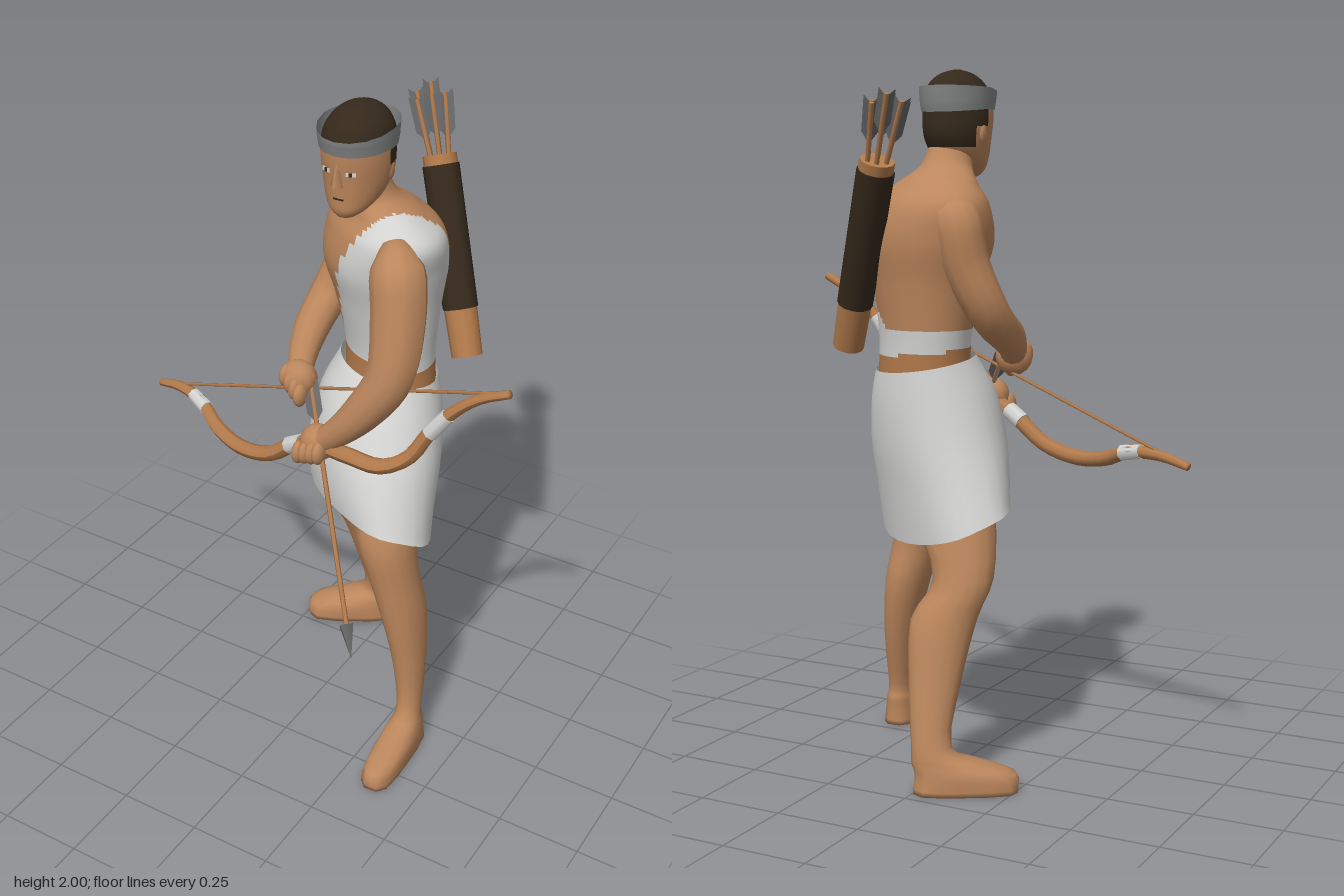
import * as THREE from 'three';

const mat = (name, color, side = THREE.FrontSide) => {
  const m = new THREE.MeshStandardMaterial({ color, side });
  m.name = name;
  return m;
};
const V = (p) => new THREE.Vector3(...p);

// Catmull-Rom blend of rows of numbers at position s (0..1)
function blend(rows, s) {
  const f = s * (rows.length - 1), i = Math.min(Math.floor(f), rows.length - 2), t = f - i;
  const [a, b, c, d] = [-1, 0, 1, 2].map((k) => rows[Math.max(0, Math.min(rows.length - 1, i + k))]);
  return b.map((_, k) => 0.5 * (2 * b[k] + (c[k] - a[k]) * t
    + (2 * a[k] - 5 * b[k] + 4 * c[k] - d[k]) * t * t
    + (3 * b[k] - a[k] - 3 * c[k] + d[k]) * t * t * t));
}

// Stack of level ellipses, bottom to top: [y, x, z, half depth, half width], turned by heading.
// pick(u, f, y) chooses a material slot from left, forward and height.
function loft(name, rings, heading, mats, { sides = 16, rows = 12, capped = true, warp, pick } = {}) {
  const pos = [], local = [], sn = Math.sin(heading), cs = Math.cos(heading);
  for (let i = 0; i <= rows; i++) {
    const [y, x, z, a, b] = blend(rings, i / rows);
    for (let j = 0; j < sides; j++) {
      const p = (j / sides) * Math.PI * 2;
      let f = a * Math.cos(p), u = b * Math.sin(p), h = y;
      if (warp) [u, f, h] = warp(u, f, y, p, i / rows);
      pos.push(x + f * sn + u * cs, h, z + f * cs - u * sn);
      local.push([u, f, h]);
    }
  }
  const lists = mats.map(() => []);
  const face = (...ids) => {
    const m = [0, 1, 2].map((k) => ids.reduce((s, n) => s + local[n][k], 0) / ids.length);
    const list = lists[pick ? pick(...m) : 0];
    list.push(ids[0], ids[1], ids[2]);
    if (ids.length > 3) list.push(ids[1], ids[3], ids[2]);
  };
  for (let i = 0; i < rows; i++) for (let j = 0; j < sides; j++) {
    const k = (j + 1) % sides, o = i * sides;
    face(o + j, o + k, o + sides + j, o + sides + k);
  }
  if (capped) [0, rows].forEach((r) => {
    const n = local.length, ring = rings[r ? rings.length - 1 : 0];
    pos.push(ring[1], ring[0], ring[2]);
    local.push([0, 0, ring[0]]);
    for (let j = 0; j < sides; j++) {
      const p = r * sides + j, q = r * sides + (j + 1) % sides;
      r ? face(p, q, n) : face(q, p, n);
    }
  });
  const g = new THREE.BufferGeometry();
  g.setAttribute('position', new THREE.Float32BufferAttribute(pos, 3));
  g.setIndex(lists.flat());
  let start = 0;
  lists.forEach((l, i) => { g.addGroup(start, l.length, i); start += l.length; });
  g.computeVertexNormals();
  const mesh = new THREE.Mesh(g, mats.length > 1 ? mats : mats[0]);
  mesh.name = name;
  return mesh;
}

// Tapered tube through points [x, y, z, radius], closed flat at both ends
function limb(name, pts, material, sides = 12, n = 24) {
  const curve = new THREE.CatmullRomCurve3(pts.map((p) => V(p.slice(0, 3))));
  const g = new THREE.TubeGeometry(curve, n, 1, sides), p = g.attributes.position, v = new THREE.Vector3();
  for (let i = 0; i < p.count; i++) {
    const row = Math.floor(i / (sides + 1)), t = THREE.MathUtils.clamp((row - 1) / (n - 2), 0, 1);
    const f = curve.getUtoTmapping(t) * (pts.length - 1), k = Math.min(Math.floor(f), pts.length - 2);
    const r = row % n === 0 ? 0 : THREE.MathUtils.lerp(pts[k][3], pts[k + 1][3], f - k);
    v.fromBufferAttribute(p, i).sub(curve.getPointAt(row / n)).multiplyScalar(r).add(curve.getPointAt(t));
    p.setXYZ(i, v.x, v.y, v.z);
  }
  g.computeVertexNormals();
  const mesh = new THREE.Mesh(g, material);
  mesh.name = name;
  return mesh;
}

// Straight rod from a to b
function rod(name, a, b, ra, rb, material, sides = 8) {
  const A = V(a), B = V(b), d = B.clone().sub(A);
  const mesh = new THREE.Mesh(new THREE.CylinderGeometry(rb, ra, d.length(), sides), material);
  mesh.position.copy(A).add(B).multiplyScalar(0.5);
  mesh.quaternion.setFromUnitVectors(new THREE.Vector3(0, 1, 0), d.normalize());
  mesh.name = name;
  return mesh;
}

function ball(name, p, s, material) {
  const mesh = new THREE.Mesh(new THREE.SphereGeometry(1, 12, 8), material);
  mesh.position.set(...p); mesh.scale.set(...s);
  mesh.name = name;
  return mesh;
}

export function createModel() {
  const skin = mat('skin', 0xbb865c), cloth = mat('cloth', 0xd3d4d2, THREE.DoubleSide);
  const wood = mat('wood', 0xb27a4b), dark = mat('dark hair and hide', 0x35291b);
  const grey = mat('grey band', 0x828484, THREE.DoubleSide), steel = mat('steel', 0x686868, THREE.DoubleSide);
  const g = new THREE.Group();
  g.name = 'archer';

  // Torso with the one-shouldered tunic and belt
  g.add(loft('torso', [
    [1.14, 0.12, -0.16, 0.128, 0.158], [1.25, 0.115, -0.165, 0.127, 0.16], [1.4, 0.108, -0.16, 0.15, 0.18],
    [1.52, 0.1, -0.153, 0.172, 0.21], [1.62, 0.104, -0.145, 0.152, 0.222], [1.68, 0.095, -0.13, 0.106, 0.165],
    [1.73, 0.08, -0.1, 0.074, 0.08], [1.8, 0.072, -0.075, 0.062, 0.06],
  ], -0.68, [skin, cloth, wood], {
    sides: 64, rows: 72,
    pick: (u, f, y) => {
      if (y < 1.215 + 0.12 * f) return 2;
      if (y > 1.705 || (f > 0.01 && y > 1.31 && y < 1.5 && u > 0.12 + (y - 1.31) * 0.25)) return 0;
      const edge = f > 0 ? -0.05 + (y - 1.26) * 0.4 : 0.12 - Math.max(0, 1.39 - y) * 1.2;
      return y < 1.27 || u > edge ? 1 : 0;
    },
  }));

  // Wide, shallow skirt with a longer back hem and soft folds
  g.add(loft('skirt', [
    [0.745, 0.098, -0.085, 0.165, 0.345], [0.85, 0.103, -0.088, 0.18, 0.305], [0.96, 0.11, -0.1, 0.188, 0.262],
    [1.08, 0.112, -0.125, 0.175, 0.213], [1.175, 0.118, -0.157, 0.14, 0.172],
  ], -0.76, [cloth], {
    sides: 32, rows: 14, capped: false,
    warp: (u, f, y, p, t) => {
      const w = (1 - t) ** 2, k = 1 + 0.02 * w * Math.cos(6 * p);
      const hem = 0.07 * Math.cos(p - 0.35) - 0.015 * Math.cos(2 * p);
      return [u * k, f * k, y + w * hem + t * t * 0.025 * Math.cos(p)];
    },
  }));

  // Legs with blunt feet
  const blunt = (u, f, y, p) => {
    const k = (Math.cos(p) ** 4 + Math.sin(p) ** 4) ** -0.25;
    const m = 1 + (k - 1) * Math.max(0, 1 - y / 0.12);
    return [u * m, f * m, y];
  };
  g.add(loft('leftLeg', [
    [0, 0.355, 0.19, 0.158, 0.05], [0.05, 0.355, 0.185, 0.153, 0.052], [0.085, 0.35, 0.125, 0.095, 0.045],
    [0.13, 0.346, 0.082, 0.046, 0.037], [0.3, 0.328, 0.055, 0.066, 0.049], [0.47, 0.3, 0.05, 0.088, 0.066],
    [0.6, 0.272, 0.065, 0.085, 0.074], [0.75, 0.24, 0.06, 0.1, 0.088], [0.95, 0.2, -0.02, 0.1, 0.1],
  ], 0.05, [skin], { rows: 24, warp: blunt }));
  g.add(loft('rightLeg', [
    [0, -0.12, -0.368, 0.146, 0.062], [0.05, -0.12, -0.368, 0.142, 0.064], [0.085, -0.075, -0.393, 0.1, 0.054],
    [0.13, -0.037, -0.415, 0.056, 0.042], [0.3, -0.022, -0.365, 0.074, 0.056], [0.47, -0.025, -0.315, 0.094, 0.07],
    [0.58, -0.06, -0.265, 0.086, 0.073], [0.75, -0.012, -0.22, 0.114, 0.085], [0.95, 0.03, -0.17, 0.11, 0.1],
  ], -1.05, [skin], { rows: 24, warp: blunt }));

  // Arms
  g.add(limb('leftArm', [
    [0.21, 1.64, 0.0, 0.035], [0.245, 1.585, 0.04, 0.08], [0.27, 1.45, 0.077, 0.077], [0.27, 1.3, 0.12, 0.068],
    [0.2, 1.18, 0.15, 0.055], [0.12, 1.09, 0.16, 0.04], [0.06, 1.04, 0.155, 0.035],
  ], skin));
  g.add(limb('rightArm', [
    [0.02, 1.635, -0.23, 0.03], [-0.033, 1.595, -0.262, 0.073], [-0.062, 1.46, -0.25, 0.067], [-0.11, 1.32, -0.2, 0.059],
    [-0.105, 1.25, -0.08, 0.052], [-0.075, 1.2, 0.02, 0.04], [-0.04, 1.17, 0.08, 0.035],
  ], skin));

  // Fists with curled fingers
  const fist = (name, c, dir, grip) => {
    const hand = new THREE.Group();
    hand.name = name;
    hand.add(ball('palm', c, [0.056, 0.055, 0.05], skin));
    for (let i = 0; i < 4; i++) {
      const o = V(c).addScaledVector(V(dir), (i - 1.5) * 0.025).add(V(grip));
      hand.add(ball('finger', o.toArray(), [0.019, 0.036, 0.03], skin));
    }
    g.add(hand);
  };
  fist('leftHand', [0.065, 1.045, 0.155], [0.95, 0.3, 0.1], [-0.01, -0.02, 0.035]);
  fist('rightHand', [-0.055, 1.175, 0.065], [0.8, -0.5, 0.3], [0.0, -0.01, 0.03]);

  // Head with cropped hair
  g.add(loft('head', [
    [1.7, 0.067, 0.01, 0.03, 0.028], [1.72, 0.067, -0.003, 0.054, 0.054], [1.755, 0.067, -0.035, 0.089, 0.078],
    [1.81, 0.068, -0.052, 0.11, 0.093], [1.87, 0.068, -0.05, 0.115, 0.098], [1.925, 0.069, -0.05, 0.113, 0.093],
    [1.963, 0.07, -0.052, 0.092, 0.074], [1.988, 0.07, -0.052, 0.058, 0.045], [2.0, 0.07, -0.052, 0.012, 0.01],
  ], 0, [skin, dark], {
    sides: 28, rows: 32,
    pick: (u, f, y) => (y > 1.91 || (f < -0.04 && y > 1.775) || (f < 0.005 && y > 1.845) ? 1 : 0),
  }));
  g.add(loft('headband', [
    [1.885, 0.07, -0.047, 0.122, 0.102], [1.915, 0.07, -0.047, 0.128, 0.106], [1.944, 0.07, -0.047, 0.13, 0.108],
  ], 0, [grey], {
    sides: 16, rows: 4, capped: false,
    warp: (u, f, y) => [u, f, y + (y > 1.915 ? -0.08 : 0.04) * f - 0.05 * Math.abs(f) + 0.004],
  }));
  g.add(rod('nose', [0.067, 1.798, 0.062], [0.067, 1.86, 0.058], 0.02, 0.006, skin, 4));
  for (const s of [-1, 1]) {
    const plate = (name, w, h, y, z, m) => {
      const b = new THREE.Mesh(new THREE.BoxGeometry(w, h, 0.006), m);
      b.position.set(0.067 + s * 0.037, y, z);
      b.rotation.y = s * 0.4;
      b.name = name;
      g.add(b);
    };
    plate('eye', 0.028, 0.01, 1.836, 0.052, cloth);
    plate('pupil', 0.009, 0.01, 1.836, 0.054, dark);
    g.add(ball('ear', [0.067 + s * 0.09, 1.82, -0.07], [0.008, 0.028, 0.018], skin));
  }
  const mouth = new THREE.Mesh(new THREE.BoxGeometry(0.03, 0.004, 0.006), dark);
  mouth.position.set(0.067, 1.758, 0.053);
  mouth.name = 'mouth';
  g.add(mouth);

  // Recurve bow, wraps and string
  g.add(limb('bow', [
    [-0.65, 0.91, -0.06, 0.012], [-0.56, 0.932, -0.04, 0.016], [-0.45, 0.93, 0.0, 0.02], [-0.36, 0.897, 0.05, 0.022],
    [-0.25, 0.885, 0.09, 0.023], [-0.13, 0.915, 0.115, 0.024], [-0.03, 0.99, 0.125, 0.024], [0.06, 1.03, 0.15, 0.024],
    [0.18, 1.05, 0.18, 0.024], [0.29, 1.06, 0.193, 0.023], [0.37, 1.11, 0.18, 0.022], [0.43, 1.21, 0.165, 0.02],
    [0.5, 1.295, 0.157, 0.018], [0.57, 1.35, 0.155, 0.015], [0.65, 1.39, 0.16, 0.012],
  ], wood, 8, 48));
  g.add(rod('bowWrap', [-0.495, 0.936, -0.018], [-0.425, 0.923, 0.013], 0.021, 0.024, cloth));
  g.add(rod('bowWrap', [0.425, 1.2, 0.166], [0.475, 1.268, 0.16], 0.024, 0.021, cloth));
  g.add(rod('bowWrap', [-0.055, 0.974, 0.121], [-0.005, 1.006, 0.132], 0.027, 0.027, cloth));
  g.add(rod('bowString', [-0.61, 0.922, -0.05], [0.61, 1.38, 0.158], 0.005, 0.005, wood, 5));

  // Feather vane outline, repeated around a shaft
  const vane = new THREE.ShapeGeometry(new THREE.Shape(
    [[0, 0], [0.026, 0.03], [0.026, 0.13], [0, 0.11]].map((p) => new THREE.Vector2(...p))));
  const arrow = (name, a, b, from) => {
    const set = new THREE.Group(), A = V(a), B = V(b), d = B.clone().sub(A).normalize();
    set.name = name;
    set.add(rod('shaft', a, b, 0.007, 0.007, wood, 6));
    const feathers = new THREE.Group();
    feathers.position.copy(B).addScaledVector(d, -from);
    feathers.quaternion.setFromUnitVectors(new THREE.Vector3(0, 1, 0), d);
    for (let i = 0; i < 3; i++) {
      const m = new THREE.Mesh(vane, steel);
      m.rotation.y = (i * Math.PI * 2) / 3;
      m.name = 'feather';
      feathers.add(m);
    }
    set.add(feathers);
    g.add(set);
  };

  // Arrow held ready
  arrow('readyArrow', [0.35, 0.685, 0.465], [-0.02, 1.175, 0.06], 0.13);
  g.add(rod('arrowhead', [0.338, 0.7, 0.452], [0.383, 0.64, 0.502], 0.025, 0.001, steel, 4));

  // Quiver across the back
  const foot = V([0.33, 1.215, -0.235]), rim = V([0.138, 1.742, -0.385]);
  const along = (t) => foot.clone().lerp(rim, t).toArray();
  g.add(rod('quiverBase', along(0), along(0.25), 0.045, 0.048, wood, 12));
  g.add(rod('quiverBody', along(0.24), along(0.95), 0.051, 0.053, dark, 12));
  g.add(rod('quiverRim', along(0.94), along(1), 0.049, 0.049, wood, 12));
  for (let i = 0; i < 6; i++) {
    const p = (i / 6) * Math.PI * 2, x = Math.cos(p), z = Math.sin(p), [a, b] = [along(0.9), along(1.3)];
    arrow('spareArrow', [a[0] + 0.025 * x, a[1], a[2] + 0.025 * z],
      [b[0] + 0.046 * x, b[1] + 0.015 * Math.sin(i * 2), b[2] + 0.046 * z], 0.12);
  }
  return g;
}
